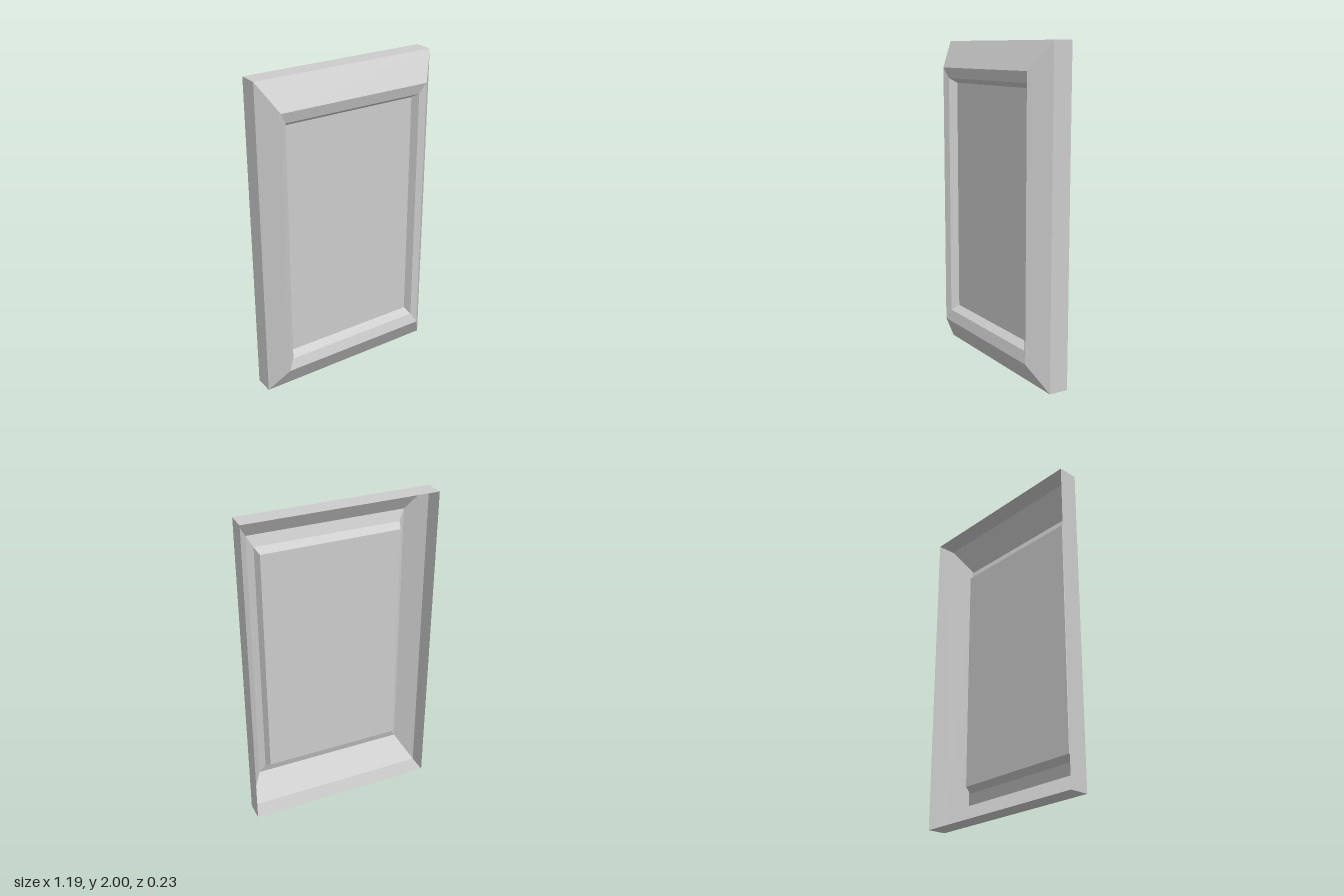
import * as THREE from 'three';

// Rectangular outlines from the back rim to the recessed panel: half width, bottom, top, depth
const rim = [0.595, 0, 2, -0.113];
const shoulder = [0.595, 0, 2, 0.007];
const ridge = [0.495, 0.168, 1.834, 0.113];
const lip = [0.458, 0.234, 1.768, 0.093];
const recess = [0.44, 0.264, 1.738, 0.043];

const material = new THREE.MeshStandardMaterial({
  color: 0xcccccc, flatShading: true, side: THREE.DoubleSide,
});

// Corners counter-clockwise as seen from the front
const corners = ([w, bottom, top, z]) => [
  [-w, bottom, z], [w, bottom, z], [w, top, z], [-w, top, z],
];

function quadMesh(name, quads) {
  const points = quads.flatMap(([a, b, c, d]) => [a, b, c, a, c, d]).flat();
  const geometry = new THREE.BufferGeometry();
  geometry.setAttribute('position', new THREE.Float32BufferAttribute(points, 3));
  geometry.computeVertexNormals();
  const mesh = new THREE.Mesh(geometry, material);
  mesh.name = name;
  return mesh;
}

// Four mitred faces joining an outer outline to an inner one
function band(name, outer, inner) {
  const o = corners(outer), n = corners(inner);
  return quadMesh(name, o.map((p, i) => {
    const j = (i + 1) % 4;
    return [p, o[j], n[j], n[i]];
  }));
}

export function createModel() {
  const group = new THREE.Group();
  group.name = 'framedPanel';
  group.add(
    band('outerSides', rim, shoulder),
    band('outerBevel', shoulder, ridge),
    band('frameFace', ridge, lip),
    band('innerStep', lip, recess),
    quadMesh('panel', [corners(recess)]),
  );
  return group;
}
